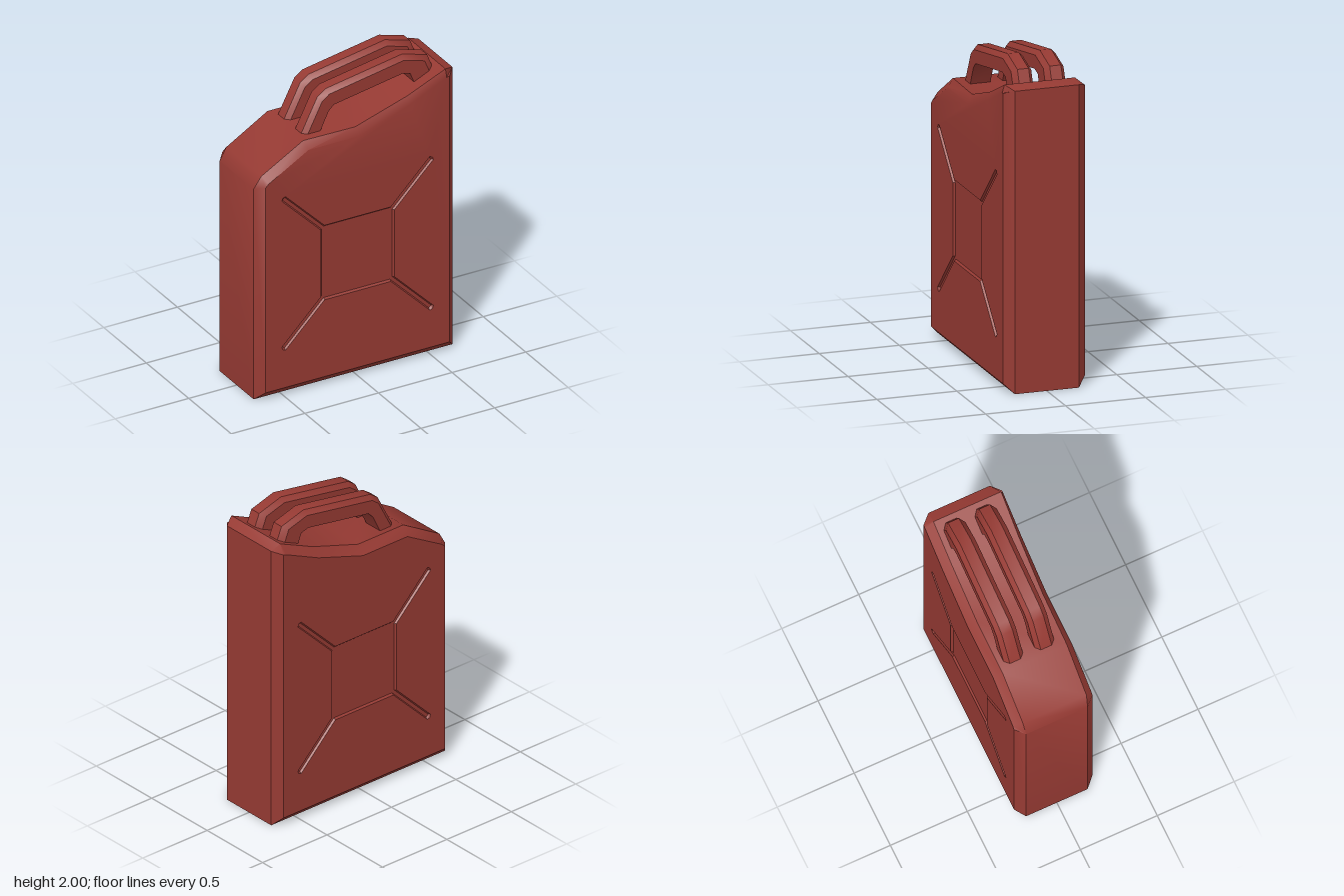
import * as THREE from 'three';
import { toCreasedNormals } from 'three/addons/utils/BufferGeometryUtils.js';

const CREASE = 0.6;

// Collects loops of points into one surface
function surface() {
  const pos = [];
  const tri = (a, b, c) => pos.push(...a, ...b, ...c);
  return {
    // Strip of quads between two matching loops
    band(a, b, skip = -1) {
      a.forEach((p, i) => {
        if (i === skip) return;
        const j = (i + 1) % a.length;
        tri(p, a[j], b[j]);
        tri(p, b[j], b[i]);
      });
    },
    // Flat cap in the xy plane, facing +z (side 1) or -z (side -1)
    cap(loop, side, hole = []) {
      const flat = (l) => l.map((p) => new THREE.Vector2(p[0], p[1]));
      const holes = hole.length ? [flat(hole).reverse()] : [];
      const all = [...loop, ...[...hole].reverse()];
      for (const [i, j, k] of THREE.ShapeUtils.triangulateShape(flat(loop), holes)) {
        const [a, b, c] = [all[i], all[j], all[k]];
        const area = (b[0] - a[0]) * (c[1] - a[1]) - (b[1] - a[1]) * (c[0] - a[0]);
        if (area * side > 0) tri(a, b, c);
        else tri(a, c, b);
      }
    },
    quad(a, b, c, d) {
      tri(a, b, c);
      tri(a, c, d);
    },
    build() {
      const g = new THREE.BufferGeometry();
      g.setAttribute('position', new THREE.Float32BufferAttribute(pos, 3));
      return toCreasedNormals(g, CREASE);
    },
  };
}

// Square with four diagonal arms, shrunk by d
function stamp(d, z) {
  const s = 0.25 - d, k = 0.025 - d, e = 0.515 - d;
  const quarter = [[s, s - k], [e, e - k], [e - 0.007, e - 0.007], [e - k, e], [s - k, s]];
  const loop = [];
  for (let q = 0; q < 4; q++) {
    for (const p of quarter) {
      let [x, y] = p;
      for (let r = 0; r < q; r++) [x, y] = [-y, x];
      loop.push([x, y + 0.82, z]);
    }
  }
  return loop;
}

function bodyGeometry() {
  const s = surface();
  // Outer outline: x, y, front z
  const outline = [
    [-0.675, 0, 0.2], [0.675, 0, 0.2], [0.675, 1.86, 0.2], [0.605, 1.885, 0.24], [0.35, 1.77, 0.232],
    [0, 1.655, 0.225], [-0.35, 1.655, 0.218], [-0.63, 1.49, 0.213], [-0.675, 1.41, 0.2],
  ];
  // Outline of the large flat sides
  const inner = [
    [-0.625, 0.055], [0.625, 0.055], [0.625, 1.84], [0.605, 1.835], [0.355, 1.72],
    [0.01, 1.605], [-0.335, 1.605], [-0.605, 1.45], [-0.625, 1.43],
  ];
  const backRim = outline.map(([x, y]) => [x, y, -0.2]);
  s.band(backRim, outline, 0);

  // Chamfers, flat sides and the sunken stamp on each
  for (const side of [1, -1]) {
    const rim = side > 0 ? outline : backRim;
    const face = inner.map(([x, y]) => [x, y, side * 0.255]);
    const edge = stamp(0, side * 0.255);
    const floor = stamp(0.01, side * 0.243);
    const strip = (a, b) => (side > 0 ? s.band(a, b) : s.band(b, a));
    strip(rim, face);
    strip(edge, floor);
    s.cap(face, side, edge);
    s.cap(floor, side);
  }

  // Base with a shallow recess
  const rect = (x, z, y) => [[-x, y, -z], [x, y, -z], [x, y, z], [-x, y, z]];
  const lip = rect(0.625, 0.155, 0), roof = rect(0.625, 0.155, 0.04);
  s.band(rect(0.675, 0.2, 0), lip);
  s.band(lip, roof);
  s.quad(...roof);
  return s.build();
}

// Handle bar: outer and inner path joined by a section with chamfered top
function handleGeometry() {
  const s = surface();
  const outer = [[-0.325, 1.635], [-0.205, 1.87], [-0.15, 1.91], [0.37, 2], [0.54, 1.95], [0.585, 1.84]];
  const under = [[-0.21, 1.635], [-0.145, 1.77], [-0.11, 1.805], [0.355, 1.885], [0.41, 1.87], [0.45, 1.77]];
  const section = [[0, -0.063], [0, 0.063], [0.75, 0.063], [1, 0.035], [1, -0.035], [0.75, -0.063]];
  const rings = outer.map(([ox, oy], i) => {
    const [ix, iy] = under[i];
    return section.map(([t, z]) => [ix + (ox - ix) * t, iy + (oy - iy) * t, z]);
  });
  for (let i = 1; i < rings.length; i++) s.band(rings[i], rings[i - 1]);
  return s.build();
}

export function createModel() {
  const group = new THREE.Group();
  group.name = 'fuelCan';
  const red = new THREE.MeshStandardMaterial({ color: 0x963a33 });
  red.name = 'red paint';

  const body = new THREE.Mesh(bodyGeometry(), red);
  body.name = 'body';
  group.add(body);

  const bar = handleGeometry();
  for (const side of [1, -1]) {
    const handle = new THREE.Mesh(bar, red);
    handle.name = side > 0 ? 'frontHandle' : 'backHandle';
    handle.position.z = side * 0.101;
    group.add(handle);
  }
  return group;
}
